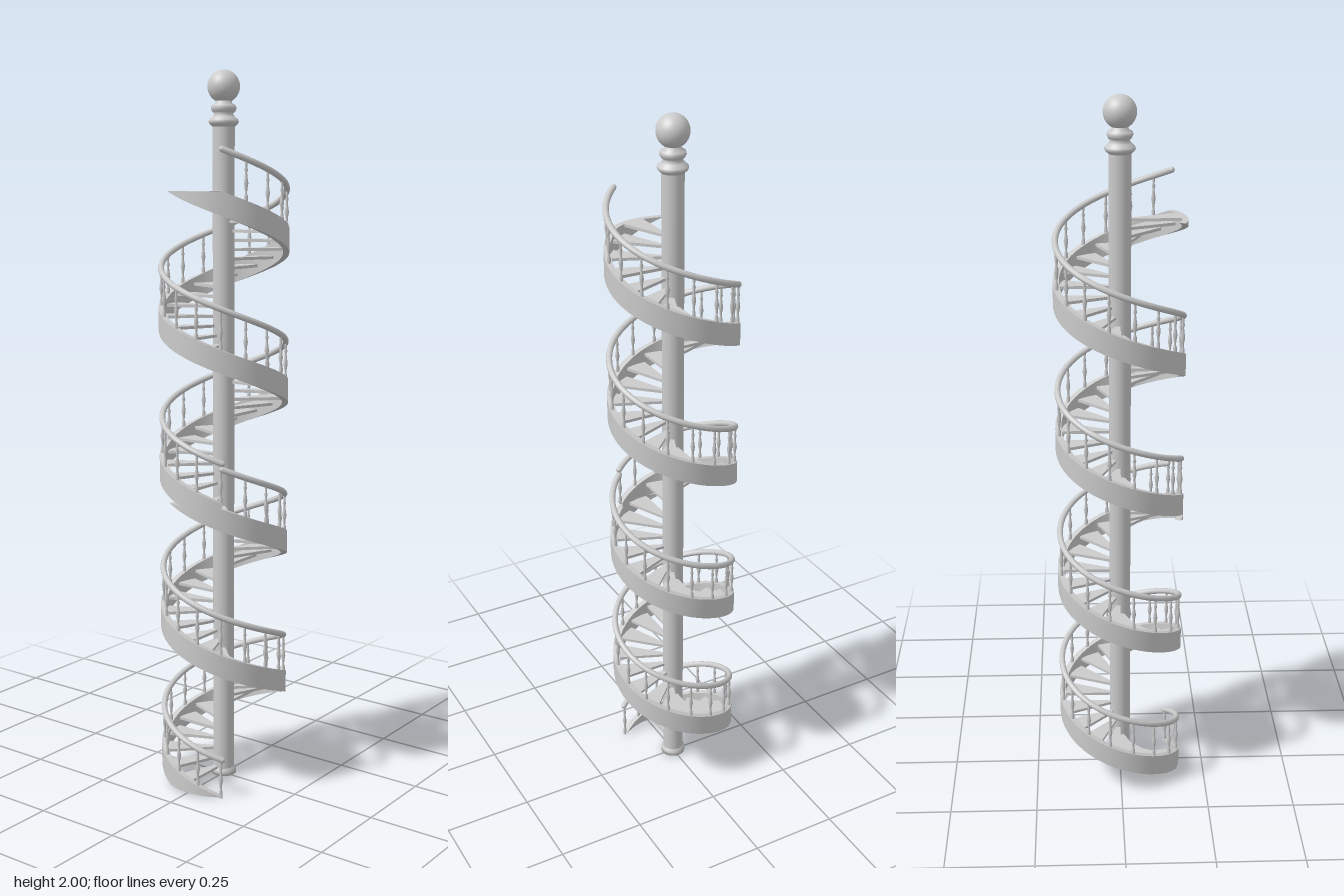
import * as THREE from 'three';

const RAD = Math.PI / 180;
const PITCH = 0.416;          // rise per full turn
const FLIGHT = 0.832;         // rise of one two-turn flight
const OFFSET = 0.848;         // vertical spacing of the flights
const START = 145;            // heading where a flight begins, degrees
const STEP = 22.5;            // sixteen treads per turn
const BAND = 0.0636;          // vertical height of the stringer
const SPAN = 720 + (BAND / PITCH) * 360;
const R_IN = 0.163, R_OUT = 0.18, R_RAIL = 0.172, RAIL_LIFT = 0.108;

const material = new THREE.MeshStandardMaterial({ color: 0xcccccc });
const rise = (t) => (PITCH * t) / 360;

function addMesh(parent, geometry, name) {
  const mesh = new THREE.Mesh(geometry, material);
  mesh.name = name;
  parent.add(mesh);
  return mesh;
}

const lathe = (points, sides) =>
  new THREE.LatheGeometry(points.map(([r, y]) => new THREE.Vector2(r, y)), sides);

// Helical band, cut level at the floor and at the landing
function stringerGeometry(low) {
  const segments = 124, positions = [], index = [];
  const section = (t) => {
    const clip = (y) => THREE.MathUtils.clamp(y, low, FLIGHT);
    const top = clip(rise(t)), bottom = clip(rise(t) - BAND);
    return [[R_IN, bottom], [R_OUT, bottom], [R_OUT, top], [R_IN, top]];
  };
  for (let side = 0; side < 4; side++) {
    const base = positions.length / 3;
    for (let i = 0; i <= segments; i++) {
      const t = (SPAN * i) / segments, a = (START + t) * RAD;
      const ring = section(t);
      for (const [r, y] of [ring[side], ring[(side + 1) % 4]]) {
        positions.push(r * Math.cos(a), y, r * Math.sin(a));
      }
      if (i < segments) {
        const k = base + i * 2;
        index.push(k, k + 1, k + 2, k + 1, k + 3, k + 2);
      }
    }
  }
  const geometry = new THREE.BufferGeometry();
  geometry.setAttribute('position', new THREE.Float32BufferAttribute(positions, 3));
  geometry.setIndex(index);
  geometry.computeVertexNormals();
  return geometry;
}

// Helix followed by the handrail
class Helix extends THREE.Curve {
  getPoint(u, target = new THREE.Vector3()) {
    const t = 720 * u, a = (START + t) * RAD;
    return target.set(R_RAIL * Math.cos(a), rise(t) + RAIL_LIFT, R_RAIL * Math.sin(a));
  }
}

// Thin wedge tread with its upper face at y = 0
function treadGeometry() {
  const shape = new THREE.Shape();
  shape.absarc(0, 0, 0.167, 0, STEP * RAD, false);
  shape.absarc(0, 0, 0.025, STEP * RAD, 0, true);
  shape.closePath();
  const geometry = new THREE.ExtrudeGeometry(shape, { depth: 0.008, bevelEnabled: false, curveSegments: 4 });
  return geometry.rotateX(Math.PI / 2);
}

export function createModel() {
  const model = new THREE.Group();
  model.name = 'spiralStaircase';

  // Central column with foot, collars and ball finial
  addMesh(model, lathe([[0, 0], [0.036, 0], [0.036, 0.012], [0.03, 0.02], [0.03, 0.02], [0.03, 1.855]], 32), 'column');
  addMesh(model, lathe([
    [0.03, 1.85], [0.038, 1.857], [0.041, 1.862], [0.04, 1.868], [0.031, 1.876], [0.025, 1.884],
    [0.031, 1.89], [0.035, 1.898], [0.033, 1.906], [0.023, 1.912], [0.02, 1.925],
  ], 32), 'collars');
  addMesh(model, new THREE.SphereGeometry(0.044, 32, 20), 'finialBall').position.y = 1.956;

  const tread = treadGeometry();
  const rail = new THREE.TubeGeometry(new Helix(), 128, 0.0085, 10);
  const railEnd = new THREE.SphereGeometry(0.0085, 10, 8);
  const baluster = lathe([
    [0.005, -0.006], [0.005, 0.012], [0.0028, 0.018], [0.0035, 0.03], [0.0062, 0.045], [0.004, 0.06],
    [0.0028, 0.072], [0.005, 0.08], [0.003, 0.086], [0.004, RAIL_LIFT],
  ], 8);

  for (let f = 0; f < 2; f++) {
    const flight = new THREE.Group();
    flight.name = f ? 'upperFlight' : 'lowerFlight';
    flight.position.y = f * OFFSET;
    model.add(flight);

    // The upper stringer reaches down to the lower landing
    addMesh(flight, stringerGeometry(f ? FLIGHT - OFFSET : 0), 'stringer');

    // Treads, counted down from the landing
    for (let k = 0; k < 32; k++) {
      const step = addMesh(flight, tread, 'tread');
      step.position.y = FLIGHT - (k * PITCH) / 16;
      step.rotation.y = -(180 - STEP * (k + 1)) * RAD;
    }

    // Turned balusters, one at the middle of each tread
    for (let k = 0; k < 32; k++) {
      const t = 1.25 + STEP * k, a = (START + t) * RAD;
      addMesh(flight, baluster, 'baluster').position.set(R_RAIL * Math.cos(a), rise(t), R_RAIL * Math.sin(a));
    }

    // Handrail with closed ends
    addMesh(flight, rail, 'handrail');
    for (const u of [0, 1]) addMesh(flight, railEnd, 'handrailEnd').position.copy(new Helix().getPoint(u));
  }
  return model;
}
